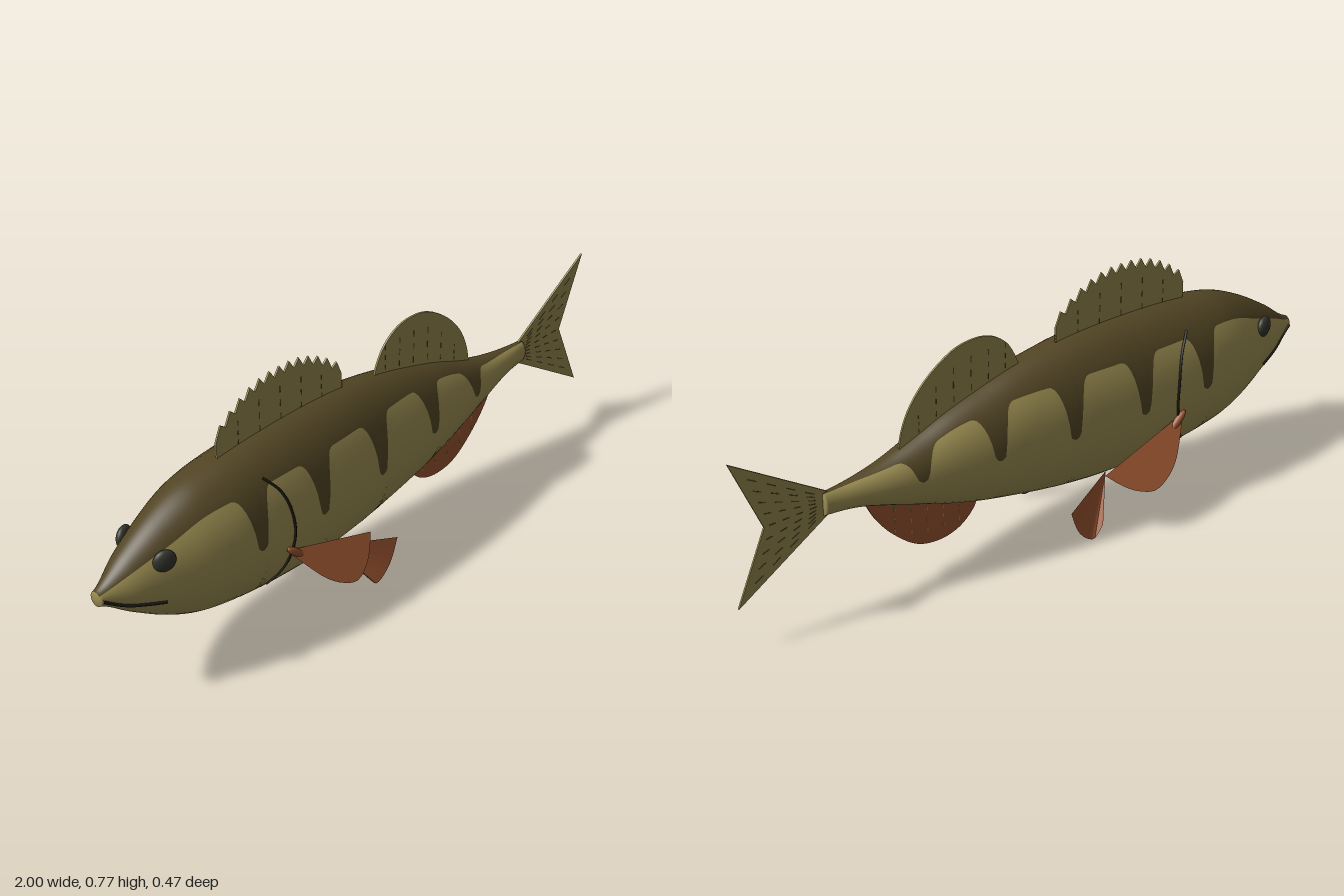
import * as THREE from 'three';

const mat = (name, color, side = THREE.FrontSide) => {
  const m = new THREE.MeshStandardMaterial({ color, side });
  m.name = name;
  return m;
};

// Body outline at evenly spaced stations from snout to tail root
const X0 = -1, X1 = 0.72;
const TOP = [.39, .46, .522, .566, .586, .597, .603, .605, .603, .596, .581, .56, .532, .5, .46, .425, .405, .397];
const BOTTOM = [.345, .275, .21, .165, .145, .13, .121, .117, .12, .13, .145, .165, .187, .215, .25, .285, .315, .325];
const WIDTH = [.02, .065, .1, .13, .148, .152, .152, .15, .146, .14, .131, .122, .11, .094, .075, .055, .035, .02];

// Catmull-Rom sampling of a station table
function sample(table, x) {
  const n = table.length - 1;
  const u = THREE.MathUtils.clamp((x - X0) / (X1 - X0), 0, 1) * n;
  const i = Math.min(Math.floor(u), n - 1), t = u - i;
  const [a, b, c, d] = [table[Math.max(i - 1, 0)], table[i], table[i + 1], table[Math.min(i + 2, n)]];
  return b + 0.5 * t * (c - a + t * (2 * a - 5 * b + 4 * c - d + t * (3 * (b - c) + d - a)));
}

function section(x) {
  const t = sample(TOP, x), b = sample(BOTTOM, x);
  return { cy: (t + b) / 2, ry: (t - b) / 2, w: sample(WIDTH, x) };
}

// Half width of the body at a point on its side
function sideZ(x, y) {
  const { cy, ry, w } = section(x);
  return w * Math.sqrt(Math.max(0, 1 - ((y - cy) / ry) ** 2));
}

// Lower edge of the dark back, with hanging bars
const EDGE = [.383, .43, .472, .51, .522, .522, .522, .522, .522, .522, .518, .513, .497, .475, .44, .415, .402, .395];
const BARS = [[-.54, .35], [-.3, .345], [-.05, .345], [.2, .355], [.435, .355]];
function backEdge(x) {
  const base = sample(EDGE, x);
  let y = base;
  for (const [c, low] of BARS) {
    const d = Math.abs(x - c);
    const s = THREE.MathUtils.clamp((d - 0.016) / 0.06, 0, 1);
    y = Math.min(y, base - (base - low - d * 0.6) * (1 - s) ** 3);
  }
  return y;
}

function bodyGeometry() {
  const cols = 260, dark = 18, light = 26, n = dark + light;
  const pos = [], back = [], flank = [];
  for (let i = 0; i <= cols; i++) {
    const x = X0 + (X1 - X0) * i / cols;
    const { cy, ry, w } = section(x);
    const split = Math.acos(THREE.MathUtils.clamp((backEdge(x) - cy) / ry, -0.95, 0.97));
    for (let j = 0; j < n; j++) {
      const a = j <= dark ? -split + 2 * split * j / dark
        : split + (2 * Math.PI - 2 * split) * (j - dark) / light;
      pos.push(x, cy + ry * Math.cos(a), w * Math.sin(a));
    }
  }
  for (let i = 0; i < cols; i++) {
    for (let j = 0; j < n; j++) {
      const a = i * n + j, b = i * n + (j + 1) % n;
      (j < dark ? back : flank).push(a, b, a + n, b, b + n, a + n);
    }
  }
  // End caps
  for (const i of [0, cols]) {
    const x = i ? X1 : X0, c = pos.length / 3;
    pos.push(x, section(x).cy, 0);
    for (let j = 0; j < n; j++) {
      const a = i * n + j, b = i * n + (j + 1) % n;
      flank.push(c, i ? a : b, i ? b : a);
    }
  }
  const g = new THREE.BufferGeometry();
  g.setAttribute('position', new THREE.Float32BufferAttribute(pos, 3));
  g.setIndex([...back, ...flank]);
  g.addGroup(0, back.length, 0);
  g.addGroup(back.length, flank.length, 1);
  g.computeVertexNormals();
  return g;
}

// Flat fin in the middle plane
function plate(points) {
  const shape = new THREE.Shape(points.map(p => new THREE.Vector2(...p)));
  return new THREE.ExtrudeGeometry(shape, { depth: 0.006, bevelEnabled: false }).translate(0, 0, -0.003);
}

const smooth = (points, n = 32) =>
  new THREE.SplineCurve(points.map(p => new THREE.Vector2(...p))).getPoints(n).map(p => [p.x, p.y]);

// Triangle fan from a root point to an outer edge
function fan(root, rim) {
  const g = new THREE.BufferGeometry();
  const pos = [];
  for (let i = 0; i < rim.length - 1; i++) pos.push(...root, ...rim[i], ...rim[i + 1]);
  g.setAttribute('position', new THREE.Float32BufferAttribute(pos, 3));
  g.computeVertexNormals();
  return g;
}

export function createModel() {
  const model = new THREE.Group();
  const olive = mat('olive flank', 0x9c8e52);
  const brown = mat('dark back', 0x524524);
  const finOlive = mat('olive fin', 0x96874d);
  const red = mat('red fin', 0x98532f, THREE.DoubleSide);
  const black = mat('black line', 0x1c1a12);
  const eyeGrey = mat('eye grey', 0x34362c);

  const add = (name, geometry, material) => {
    const m = new THREE.Mesh(geometry, material);
    m.name = name;
    model.add(m);
    return m;
  };

  add('body', bodyGeometry(), [brown, olive]);

  // Spiny front dorsal fin
  const crest = x => 0.77 - 2.1 * Math.max(0, Math.abs(x + 0.32) - 0.02) ** 2;
  const spiny = [[-.56, .56], [-.56, .64]];
  const spikes = 13;
  for (let i = 0; i < spikes; i++) {
    const x = -0.56 + 0.48 * (i + 0.5) / spikes, next = -0.56 + 0.48 * (i + 1) / spikes;
    spiny.push([x, crest(x)], [next, crest(next) - 0.028]);
  }
  spiny.push([-.08, .56]);
  add('frontDorsalFin', plate(spiny), finOlive);

  // Rounded rear dorsal, anal and tail fins
  add('rearDorsalFin', plate([...smooth([[.05, .56], [.07, .61], [.1, .655], [.15, .688], [.21, .698],
    [.28, .685], [.36, .635], [.42, .57], [.455, .5], [.47, .43]]), [.3, .45], [.1, .5]]), finOlive);
  add('analFin', plate([...smooth([[.2, .2], [.22, .155], [.27, .113], [.34, .097], [.42, .115],
    [.5, .18], [.555, .25], [.59, .32]]), [.4, .3]]), red);
  add('tailFin', plate([[.7, .395], [1, .588], [.905, .36], [1, .138], [.7, .328]]), finOlive);

  // Broken fin rays, just proud of the fins
  const ray = (x1, y1, x2, y2, material = black, dashes = 3) => {
    const len = Math.hypot(x2 - x1, y2 - y1);
    for (let k = 0; k < dashes; k++) {
      const t = (k + 0.5) / dashes;
      const m = add('finRay', new THREE.BoxGeometry(len / dashes * 0.45, 0.003, 0.008), material);
      m.position.set(x1 + (x2 - x1) * t, y1 + (y2 - y1) * t, 0);
      m.rotation.z = Math.atan2(y2 - y1, x2 - x1);
    }
  };
  for (let i = 0; i < 6; i++) {
    const x = -0.48 + i * 0.08;
    ray(x, 0.59, x, crest(x) - 0.05, brown);
    const u = 0.1 + i * 0.06;
    ray(u, sample(TOP, u), u, 0.66 - 4 * Math.max(0, u - 0.22) ** 2, brown);
  }
  for (let i = 0; i < 5; i++) {
    const x = 0.27 + i * 0.055;
    ray(x, sample(BOTTOM, x), x, 0.13 + 2.2 * Math.max(0, x - 0.36) ** 2, finOlive);
  }
  for (let i = -4; i <= 4; i++) {
    ray(0.73, 0.362 + i * 0.008, 0.9 + Math.abs(i) * 0.015, 0.362 + i * 0.043, brown, 4);
  }

  for (const s of [1, -1]) {
    const side = s > 0 ? 'left' : 'right';

    // Pectoral fin, a flat tilted blade
    const pecZ = (x, y) => s * (0.145 - 0.16 * (x + 0.45) - 0.774 * (y - 0.3));
    const rim = smooth([[-.4, .235], [-.365, .195], [-.32, .163], [-.265, .143], [-.21, .155], [-.17, .178], [-.135, .208]], 16)
      .concat([[-.26, .232], [-.39, .262]]);
    add(side + 'PectoralFin', fan([-.45, .3, pecZ(-.45, .3)], rim.map(([x, y]) => [x, y, pecZ(x, y)])), red);
    const base = add(side + 'PectoralBase', new THREE.SphereGeometry(1, 16, 10), red);
    base.scale.set(0.042, 0.012, 0.012);
    base.position.set(-0.42, 0.282, s * 0.152);
    base.rotation.z = -0.75;

    // Pelvic fin fanning down and out
    const pelvic = smooth([[-.135, .04], [-.105, .004], [-.07, .018], [-.038, .058], [-.015, .122]], 12);
    add(side + 'PelvicFin', fan([-.21, .155, s * 0.078], pelvic.map(([x, y]) => [x, y, s * 0.16])), red);

    // Mouth and gill lines lying on the skin
    const line = (name, pts, r) => {
      const path = smooth(pts, 20).map(([x, y]) => new THREE.Vector3(x, y, s * (sideZ(x, y) + 0.001)));
      add(side + name, new THREE.TubeGeometry(new THREE.CatmullRomCurve3(path), 40, r, 6), black);
    };
    line('Mouth', [[-.995, .367], [-.94, .335], [-.88, .318], [-.83, .306]], 0.005);
    line('GillLine', [[-.49, .54], [-.45, .49], [-.428, .42], [-.422, .33], [-.445, .235], [-.485, .183]], 0.004);

    // Eye, slightly bulging
    const eye = add(side + 'Eye', new THREE.SphereGeometry(0.033, 24, 16), eyeGrey);
    eye.scale.z = 0.5;
    eye.position.set(-0.828, 0.438, s * (sideZ(-0.828, 0.438) + 0.002));
    eye.rotation.y = -s * 0.35;
  }
  return model;
}
